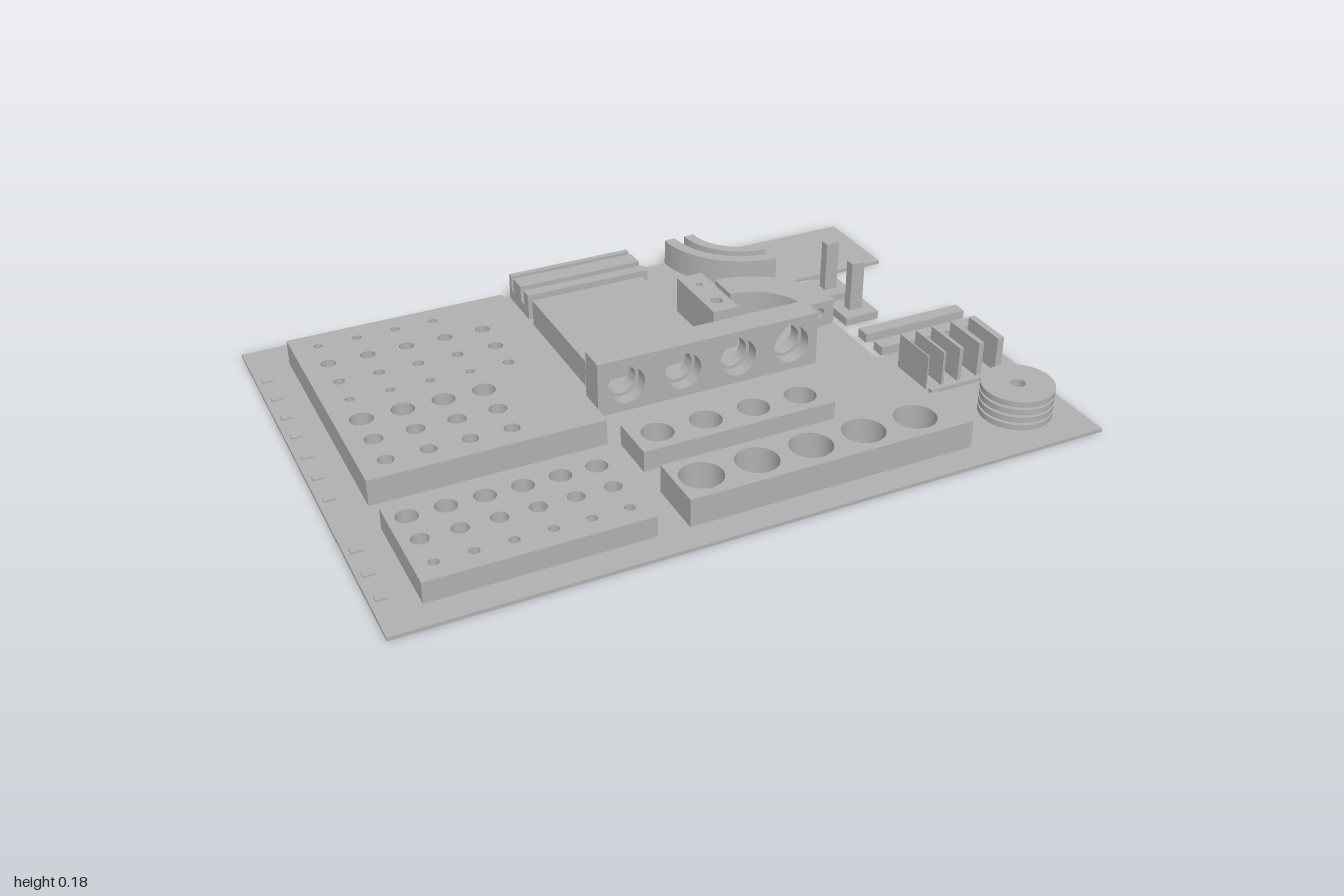
import * as THREE from 'three';
import { toCreasedNormals } from 'three/addons/utils/BufferGeometryUtils.js';

export function createModel() {
  const model = new THREE.Group();
  const grey = new THREE.MeshStandardMaterial({ color: 0xb0b0b0 });
  grey.name = 'plain grey';

  const add = (name, geometry) => {
    const mesh = new THREE.Mesh(toCreasedNormals(geometry, 0.6), grey);
    mesh.name = name;
    model.add(mesh);
    return mesh;
  };
  const outline = (points) => new THREE.Shape(points.map(([x, y]) => new THREE.Vector2(x, y)));
  const rect = (x0, x1, y0, y1) => outline([[x0, y0], [x1, y0], [x1, y1], [x0, y1]]);
  const circle = (x, y, r) => new THREE.Path().absarc(x, y, r, 0, Math.PI * 2, true);
  const extrude = (shape, depth, steps = 1) =>
    new THREE.ExtrudeGeometry(shape, { depth, steps, bevelEnabled: false, curveSegments: 16 });

  // Horizontal slab drawn in plan; holes are [x, z, radius]
  const slab = (name, shape, y0, y1, holes = []) => {
    for (const [x, z, r] of holes) shape.holes.push(circle(x, -z, r));
    return add(name, extrude(shape, y1 - y0).rotateX(-Math.PI / 2).translate(0, y0, 0));
  };
  const block = (name, x0, x1, z0, z1, y0, y1, holes) =>
    slab(name, rect(x0, x1, -z1, -z0), y0, y1, holes);
  const row = (xs, z, r) => xs.map((x) => [x, z, r]);

  // Hole patterns
  const bigCols = [-0.818, -0.706, -0.594, -0.481];
  const pinRow = row(bigCols, -0.513, 0.013);
  const bigHoles = [
    ...pinRow,
    ...row([...bigCols, -0.369], -0.406, 0.021),
    ...row(bigCols, -0.3, 0.016), [-0.369, -0.3, 0.021],
    ...row(bigCols, -0.198, 0.013), [-0.369, -0.198, 0.016],
    ...row(bigCols, -0.09, 0.032),
    ...row(bigCols, 0.016, 0.025),
    ...row(bigCols, 0.12, 0.022),
  ];
  const smallCols = [-0.84, -0.741, -0.642, -0.543, -0.444, -0.346];
  const smallHoles = [
    ...row(smallCols, 0.353, 0.029), ...row(smallCols, 0.453, 0.023), ...row(smallCols, 0.551, 0.014),
  ];
  const longCols = [-0.142, 0.013, 0.168, 0.323, 0.479];
  const shortCols = [-0.142, -0.002, 0.139, 0.281];
  const postHoles = [[0.265, -0.29, 0.01], [0.265, -0.18, 0.018]];

  // Base plate with a notch in its left side
  const T = 0.01;
  const plate = outline([
    [-1, -0.69], [0.97, -0.69], [0.97, -0.12], [0.63, -0.12],
    [0.63, 0.41], [0.97, 0.41], [0.97, 0.69], [-1, 0.69],
  ]);
  slab('basePlate', plate, 0, T, [
    ...pinRow, ...smallHoles, ...postHoles,
    ...row(longCols, 0.529, 0.05), ...row(shortCols, 0.278, 0.036), [0.815, 0.515, 0.02],
  ]);

  // Drilled blocks
  block('largeHoleBlock', -0.89, -0.245, -0.58, 0.19, T, 0.085, bigHoles);
  block('smallHoleBlock', -0.89, -0.3, 0.294, 0.612, T, 0.07, smallHoles);
  block('longSocketBlock', -0.214, 0.604, 0.446, 0.612, T, 0.09, row(longCols, 0.529, 0.058));
  block('shortSocketBlock', -0.214, 0.348, 0.206, 0.348, T, 0.07, row(shortCols, 0.278, 0.044));
  block('flatBlock', -0.18, 0.176, -0.495, -0.105, T, 0.09);
  block('verticalHoleBlock', 0.225, 0.305, -0.355, -0.12, T, 0.14, postHoles);

  // Upright wall: round and teardrop recesses in front, round holes behind
  const wallCols = [-0.13, 0.04, 0.21, 0.377];
  const front = rect(-0.214, 0.46, T, 0.172), back = rect(-0.214, 0.46, T, 0.172);
  wallCols.forEach((x, i) => {
    const y = 0.088, r = 0.055;
    back.holes.push(circle(x, y, 0.045));
    if (i < 2) front.holes.push(circle(x, y, r));
    else {
      const drop = new THREE.Path();
      drop.absarc(x, y, r, Math.PI * 0.25, Math.PI * 0.75, true);
      drop.lineTo(x, y + r * 1.414);
      drop.closePath();
      front.holes.push(drop);
    }
  });
  add('wallFront', extrude(front, 0.04).translate(0, 0, 0.02));
  add('wallBack', extrude(back, 0.04).translate(0, 0, -0.02));

  // Grooved straight rail, profile in (-z, y)
  const rail = outline([
    [0.53, T], [0.685, T], [0.685, 0.09], [0.668, 0.09], [0.668, 0.045], [0.65, 0.045],
    [0.65, 0.09], [0.592, 0.09], [0.592, 0.045], [0.565, 0.045], [0.565, 0.09], [0.53, 0.09],
  ]);
  add('groovedRail', extrude(rail, 0.39).rotateY(Math.PI / 2).translate(-0.18, 0, 0));

  // Quarter bends: a section in (radius, y) swept around a vertical axis
  const bend = (name, section, cx, cz, start) => {
    const geometry = extrude(section, 1, 20);
    const p = geometry.attributes.position;
    for (let i = 0; i < p.count; i++) {
      const r = p.getX(i), a = start + p.getZ(i) * Math.PI / 2;
      p.setXYZ(i, cx + r * Math.cos(a), p.getY(i), cz + r * Math.sin(a));
    }
    add(name, geometry);
  };
  const tunnel = rect(0.16, 0.26, T, 0.09);
  tunnel.holes.push(circle(0.21, 0.053, 0.018));
  bend('tunnelBend', tunnel, 0.364, -0.12, -Math.PI / 2);
  bend('channelBend', outline([
    [0.157, T], [0.258, T], [0.258, 0.09], [0.222, 0.09],
    [0.222, 0.045], [0.19, 0.045], [0.19, 0.09], [0.157, 0.09],
  ]), 0.604, -0.69, Math.PI / 2);

  // Posts on square feet, standing in the notch
  for (const z of [-0.302, -0.157]) {
    block('postFoot', 0.66, 0.77, z - 0.055, z + 0.055, 0, 0.025);
    block('post', 0.695, 0.737, z - 0.015, z + 0.015, 0.025, 0.178);
  }

  // Flat bars
  for (const z of [-0.012, 0.072]) block('bar', 0.66, 1, z - 0.021, z + 0.021, 0, 0.027);

  // Fins of rising thickness and their foot strip
  [0.66, 0.711, 0.764, 0.828, 0.891].forEach((x, i) => {
    block('fin', x, x + 0.004 * (i + 1), 0.178, 0.318, T, 0.114);
  });
  block('footStrip', 0.66, 0.895, 0.332, 0.346, T, 0.022);

  // Ribbed spool with a centre hole
  const profile = [[0.02, T]];
  for (let i = 0; i < 4; i++) {
    const y = T + i * 0.0235;
    profile.push([0.1, y], [0.1, y + 0.0165]);
    if (i < 3) profile.push([0.088, y + 0.0165], [0.088, y + 0.0235]);
  }
  profile.push([0.02, 0.097], [0.02, T]);
  add('spool', new THREE.LatheGeometry(profile.map(([r, y]) => new THREE.Vector2(r, y)), 40)
    .translate(0.815, 0, 0.515));

  // Low row markers along the right edge
  for (const z of [-0.513, -0.406, -0.3, -0.198, -0.09, 0.016, 0.12, 0.353, 0.453, 0.551])
    block('rowMarker', -0.985, -0.955, z - 0.01, z + 0.01, T, 0.015);

  return model;
}
